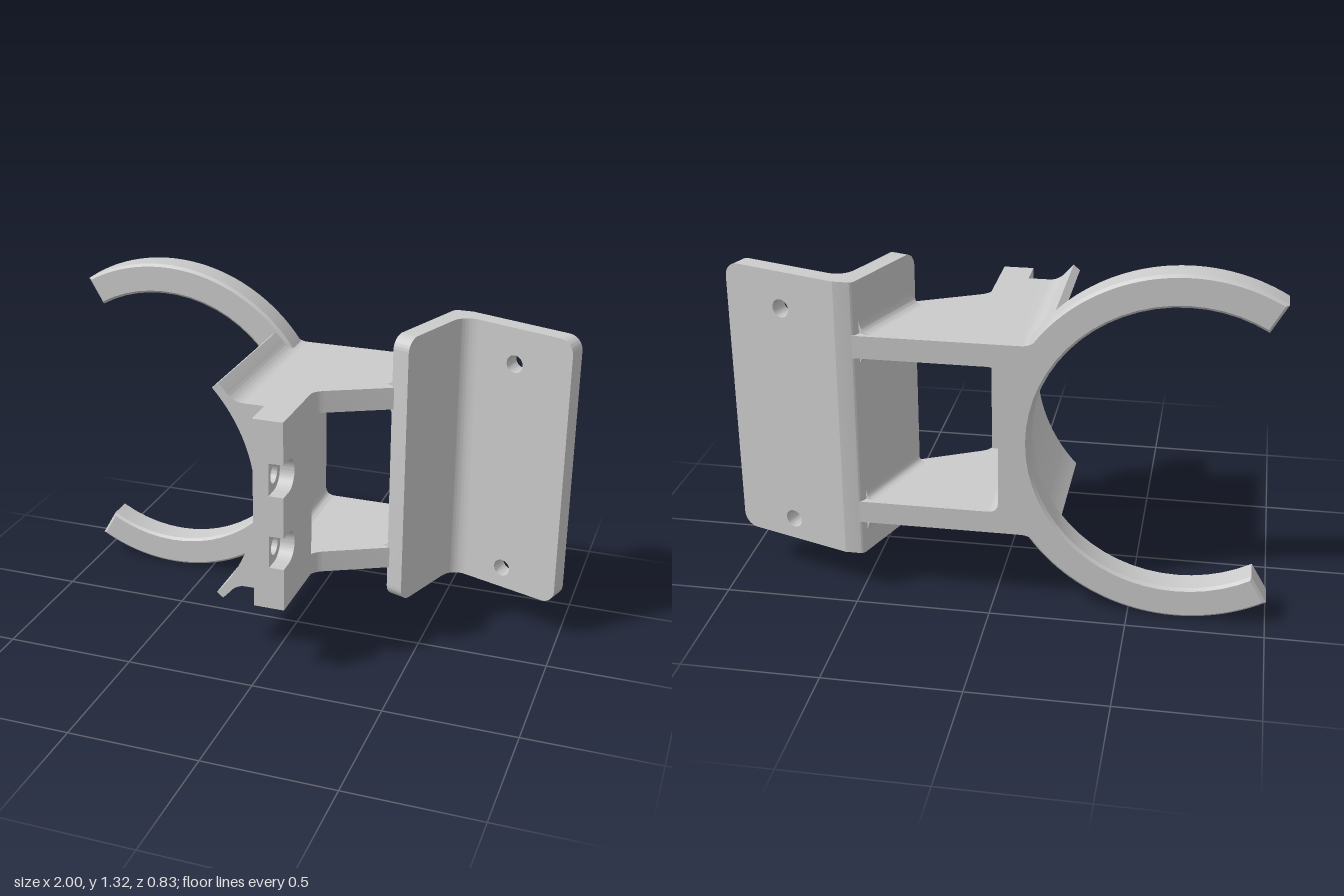
import * as THREE from 'three';
import { toCreasedNormals } from 'three/addons/utils/BufferGeometryUtils.js';

const MID = 0.66;              // height of the symmetry plane
const BACK = -0.414;           // rear face

export function createModel() {
  const model = new THREE.Group();
  const material = new THREE.MeshStandardMaterial({ color: 0xcccccc });

  const add = (name, geometry, matrix) => {
    if (matrix) geometry.applyMatrix4(matrix);
    const mesh = new THREE.Mesh(toCreasedNormals(geometry, 0.5), material);
    mesh.name = name;
    model.add(mesh);
  };
  const extrude = (shape, depth, bevel = 0) => {
    const g = new THREE.ExtrudeGeometry(shape, {
      depth: depth - 2 * bevel, curveSegments: 20, bevelEnabled: bevel > 0,
      bevelSize: bevel, bevelThickness: bevel, bevelOffset: -bevel, bevelSegments: 1,
    });
    return g.translate(0, 0, bevel);
  };
  const polygon = (pts) => new THREE.Shape(pts.map(([x, y]) => new THREE.Vector2(x, y)));
  const circle = (x, y, r) => new THREE.Path().absarc(x, y, r, 0, Math.PI * 2, true);
  // Places a flat shape: its x runs along (ux, uz), its y is up
  const upright = (ux, uz, x, y, z) => new THREE.Matrix4().makeBasis(
    new THREE.Vector3(ux, 0, uz), new THREE.Vector3(0, 1, 0), new THREE.Vector3(-uz, 0, ux),
  ).setPosition(x, y, z);
  // Turns a shape drawn in (x, -z) into a slab that rises from y
  const lying = (y) => new THREE.Matrix4().makeRotationX(-Math.PI / 2).setPosition(0, y, 0);

  // Open holding ring, narrower where it forms the lip of the saddle
  const end = Math.PI * 2 / 3, lip = 0.45;
  const ring = new THREE.Shape();
  ring.absarc(-0.67, MID, 0.66, -end, -lip, false);
  ring.absarc(-0.67, MID, 0.63, -lip, lip, false);
  ring.absarc(-0.67, MID, 0.66, lip, end, false);
  ring.absarc(-0.67, MID, 0.542, end, -end, true);
  add('ring', extrude(ring, 0.112, 0.01).translate(0, 0, BACK));

  // Thin curved saddle, flared into pointed horns above and below
  const saddleR = 0.612, a = Math.acos(0.45 / saddleR);
  const saddle = new THREE.Shape();
  saddle.moveTo(-0.02, 0.29);
  saddle.lineTo(-0.02, 1.03);
  saddle.lineTo(-0.1, 1.03);
  saddle.quadraticCurveTo(-0.14, 1.03, -0.165, 1.063);
  saddle.lineTo(-0.195, 1.095);
  saddle.absarc(-0.67, MID, saddleR, a, -a, true);
  saddle.lineTo(-0.195, 0.225);
  saddle.lineTo(-0.165, 0.257);
  saddle.quadraticCurveTo(-0.14, 0.29, -0.1, 0.29);
  add('saddle', extrude(saddle, 0.704).translate(0, 0, BACK));

  // Upper and lower webs joining saddle and flange
  const web = new THREE.Shape();
  web.moveTo(-0.05, -BACK);
  web.lineTo(-0.05, -0.13);
  web.lineTo(0.095, -0.13);
  web.quadraticCurveTo(0.095, -0.1, 0.13, -0.08);
  web.lineTo(0.36, 0.037);
  web.lineTo(0.39, 0.05);
  web.lineTo(0.5, -BACK);
  add('lowerWeb', extrude(web, 0.085), lying(0.29));
  add('upperWeb', extrude(web, 0.085), lying(0.945));

  // Rounded corners inside the cavity and outside between web and flange
  const fillet = (sx, sy, r) => {
    const s = new THREE.Shape();
    s.moveTo(-sx * 0.005, -sy * 0.005);
    s.lineTo(sx * r, 0);
    s.quadraticCurveTo(0, 0, 0, sy * r);
    return s;
  };
  for (const side of [-1, 1]) {
    const innerY = MID + side * 0.285, outerY = MID + side * 0.37;
    const alongFlange = (y) => new THREE.Matrix4()
      .makeRotationY(-Math.atan2(0.34, 0.94)).setPosition(0.478, y, -0.386);
    add('saddleFillet', extrude(fillet(1, -side, 0.04), 0.53).translate(-0.02, innerY, BACK));
    add('flangeInnerFillet', extrude(fillet(-1, -side, 0.035), 0.36), alongFlange(innerY));
    add('flangeOuterFillet', extrude(fillet(-1, side, 0.05), 0.35), alongFlange(outerY));
  }

  // Front lug in two layers: drilled inner layer, slotted outer layer
  const z0 = 0.11, z1 = 0.414, holeZ = 0.36;
  const lugHeights = [0.52, 0.805];
  const inner = polygon([[-z1, 0.29], [-z0, 0.29], [-z0, 1.03], [-z1, 1.03]]);
  lugHeights.forEach((y) => inner.holes.push(circle(-holeZ, y, 0.034)));
  add('lugInner', extrude(inner, 0.06), upright(0, -1, -0.02, 0, 0));

  const outer = new THREE.Shape();
  outer.moveTo(-z1, 0.29);
  outer.lineTo(-z0, 0.29);
  outer.lineTo(-z0, 1.03);
  outer.lineTo(-z1, 1.03);
  [...lugHeights].reverse().forEach((y) => {
    outer.lineTo(-z1, y + 0.063);
    outer.absarc(-holeZ, y, 0.063, Math.PI / 2, -Math.PI / 2, true);
    outer.lineTo(-z1, y - 0.063);
  });
  add('lugOuter', extrude(outer, 0.056), upright(0, -1, 0.04, 0, 0));

  // Angled mounting flange: two leaves with rounded free corners and a bend
  const bottom = 0.157, top = 1.227, r = 0.055;
  const leaf = (length) => {   // free edge at x = length
    const s = new THREE.Shape();
    s.moveTo(0, bottom);
    s.lineTo(length - r, bottom);
    s.absarc(length - r, bottom + r, r, -Math.PI / 2, 0, false);
    s.absarc(length - r, top - r, r, 0, Math.PI / 2, false);
    s.lineTo(0, top);
    return s;
  };
  const outerLeaf = leaf(0.465);
  [0.24, 1.088].forEach((y) => outerLeaf.holes.push(circle(0.23, y, 0.034)));
  add('outerLeaf', extrude(outerLeaf, 0.07), upright(0.946, 0.323, 0.56, 0, BACK));
  // Starts at the front face of the bend and runs towards the body
  add('innerLeaf', extrude(leaf(0.27), 0.068), upright(-0.34, 0.94, 0.5105, 0, -0.2715));

  const bend = new THREE.Shape();
  bend.moveTo(0.4466, 0.2946);
  bend.lineTo(0.482, 0.393);
  bend.quadraticCurveTo(0.488, -BACK, 0.505, -BACK);
  bend.lineTo(0.56, -BACK);
  bend.lineTo(0.5374, 0.3478);
  bend.lineTo(0.5105, 0.2715);
  add('flangeBend', extrude(bend, top - bottom), lying(bottom));

  // Soft inside corner of the bend
  const corner = new THREE.Shape();
  corner.moveTo(0.53, 0.355);
  corner.lineTo(0.5105, 0.2715);
  corner.quadraticCurveTo(0.535, 0.345, 0.6, 0.3265);
  add('bendFillet', extrude(corner, top - bottom), lying(bottom));

  return model;
}
